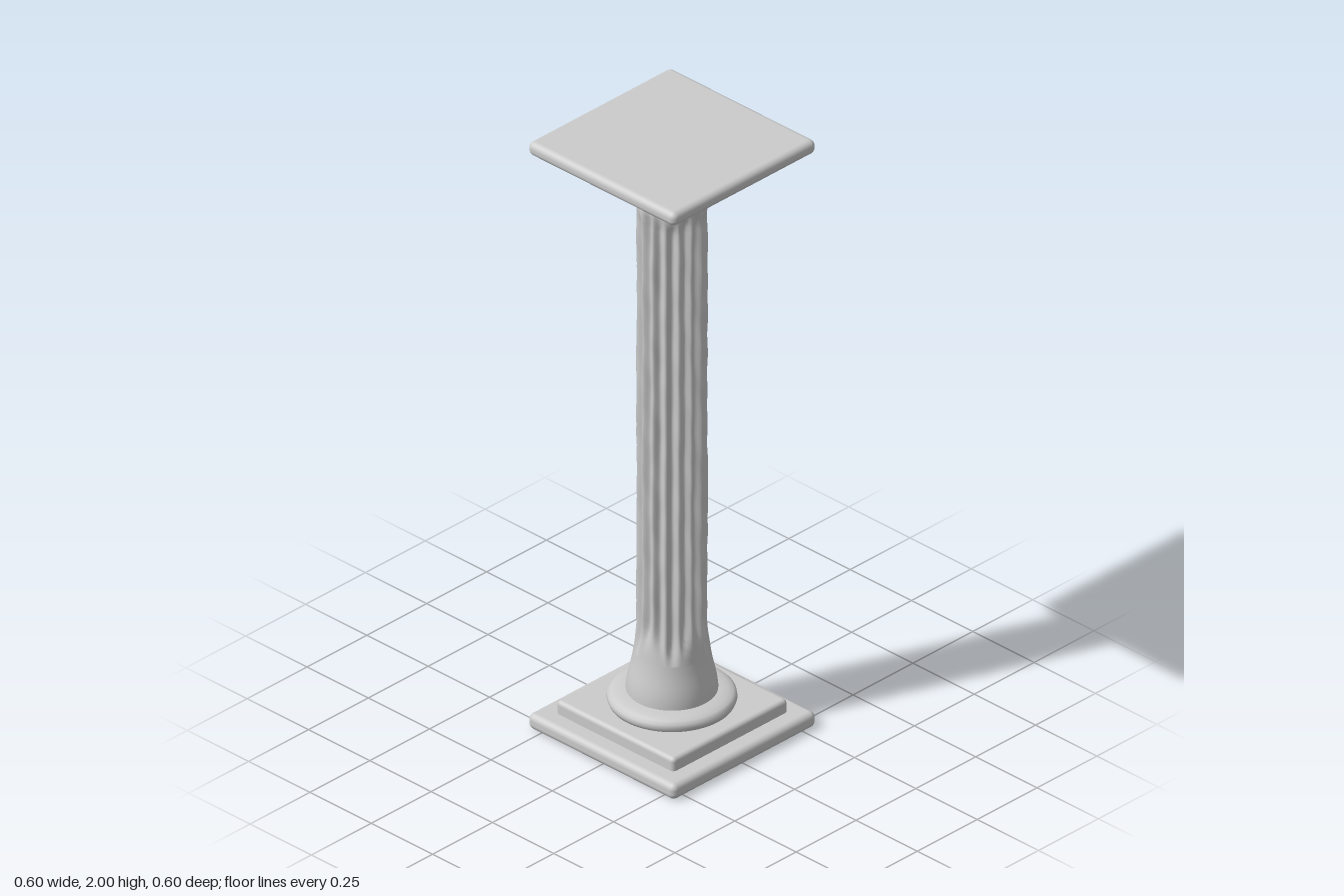
import * as THREE from 'three';
import { mergeVertices } from 'three/addons/utils/BufferGeometryUtils.js';
import { RoundedBoxGeometry } from 'three/addons/geometries/RoundedBoxGeometry.js';

const material = new THREE.MeshStandardMaterial({ color: 0xcccccc });
const FLUTES = 16;

function add(group, name, geometry, y = 0) {
  const mesh = new THREE.Mesh(geometry, material);
  mesh.name = name;
  mesh.position.y = y;
  group.add(mesh);
}

// Square slab with softened edges, from y0 to y1
function slab(group, name, size, y0, y1, radius) {
  add(group, name, new RoundedBoxGeometry(size, y1 - y0, size, 4, radius), (y0 + y1) / 2);
}

function lathe(profile, segments = 64) {
  return new THREE.LatheGeometry(profile.map(([r, y]) => new THREE.Vector2(r, y)), segments);
}

// Slow ripple that makes the stone look worn
function wear(angle, y) {
  return 0.0012 * Math.sin(3 * angle + 9 * y) + 0.001 * Math.sin(7 * angle - 23 * y)
    + 0.0008 * Math.sin(5 * angle + 51 * y);
}

// Shaft: dense lathe whose vertices are pushed in along the flutes
function shaftGeometry() {
  const profile = [];
  const bottom = 0.27, top = 1.8, rows = 70;
  for (let i = 0; i <= rows; i++) {
    const t = i / rows;
    const foot = 0.008 * Math.pow(1 - Math.min(1, t * 12), 2);
    profile.push([0.105 + foot, bottom + (top - bottom) * t]);
  }
  profile.push([0.104, 1.82], [0.098, 1.833], [0.085, 1.838], [0.05, 1.838]);
  let geometry = lathe(profile, FLUTES * 8);
  geometry.deleteAttribute('uv');
  geometry.deleteAttribute('normal');
  geometry = mergeVertices(geometry);

  const p = geometry.attributes.position;
  for (let i = 0; i < p.count; i++) {
    const x = p.getX(i), y = p.getY(i), z = p.getZ(i);
    const angle = Math.atan2(x, z);
    // Each flute starts and stops at a slightly different height
    const shift = 0.03 * Math.sin(angle * 5 + 1);
    const fade = THREE.MathUtils.smoothstep(y, 0.29 + shift, 0.37 + shift)
      * (1 - THREE.MathUtils.smoothstep(y, 1.75 + shift * 0.4, 1.79 + shift * 0.4));
    const groove = Math.pow(Math.abs(Math.cos(angle * FLUTES / 2)), 1.5);
    const ends = THREE.MathUtils.smoothstep(y, 0.27, 0.33);
    const r = Math.hypot(x, z);
    const k = (r - 0.016 * groove * fade + wear(angle, y) * ends) / r;
    p.setXYZ(i, x * k, y, z * k);
  }
  geometry.computeVertexNormals();
  return geometry;
}

export function createModel() {
  const column = new THREE.Group();
  column.name = 'column';

  // Stepped square base
  slab(column, 'basePlinth', 0.6, 0, 0.052, 0.02);
  slab(column, 'baseStep', 0.48, 0.035, 0.095, 0.014);

  // Round moulding under the shaft
  add(column, 'baseRing', lathe([
    [0.12, 0.09], [0.175, 0.09], [0.186, 0.096], [0.191, 0.108], [0.189, 0.12],
    [0.18, 0.129], [0.165, 0.133], [0.145, 0.138], [0.1, 0.14],
  ]));

  // Flared foot
  add(column, 'flaredFoot', lathe([
    [0.135, 0.13], [0.135, 0.15], [0.132, 0.175], [0.127, 0.2],
    [0.121, 0.225], [0.116, 0.25], [0.113, 0.272],
  ]));

  add(column, 'flutedShaft', shaftGeometry());

  // Narrow neck spreading into a thin collar
  add(column, 'neck', lathe([
    [0.086, 1.83], [0.081, 1.845], [0.078, 1.865], [0.079, 1.885], [0.086, 1.897],
    [0.105, 1.9], [0.118, 1.902], [0.122, 1.908], [0.122, 1.92],
  ]));

  // Stepped square capital
  slab(column, 'capitalStep', 0.41, 1.91, 1.95, 0.012);
  slab(column, 'capitalMoulding', 0.47, 1.922, 1.965, 0.014);
  slab(column, 'capitalSlab', 0.6, 1.954, 2, 0.02);

  return column;
}
